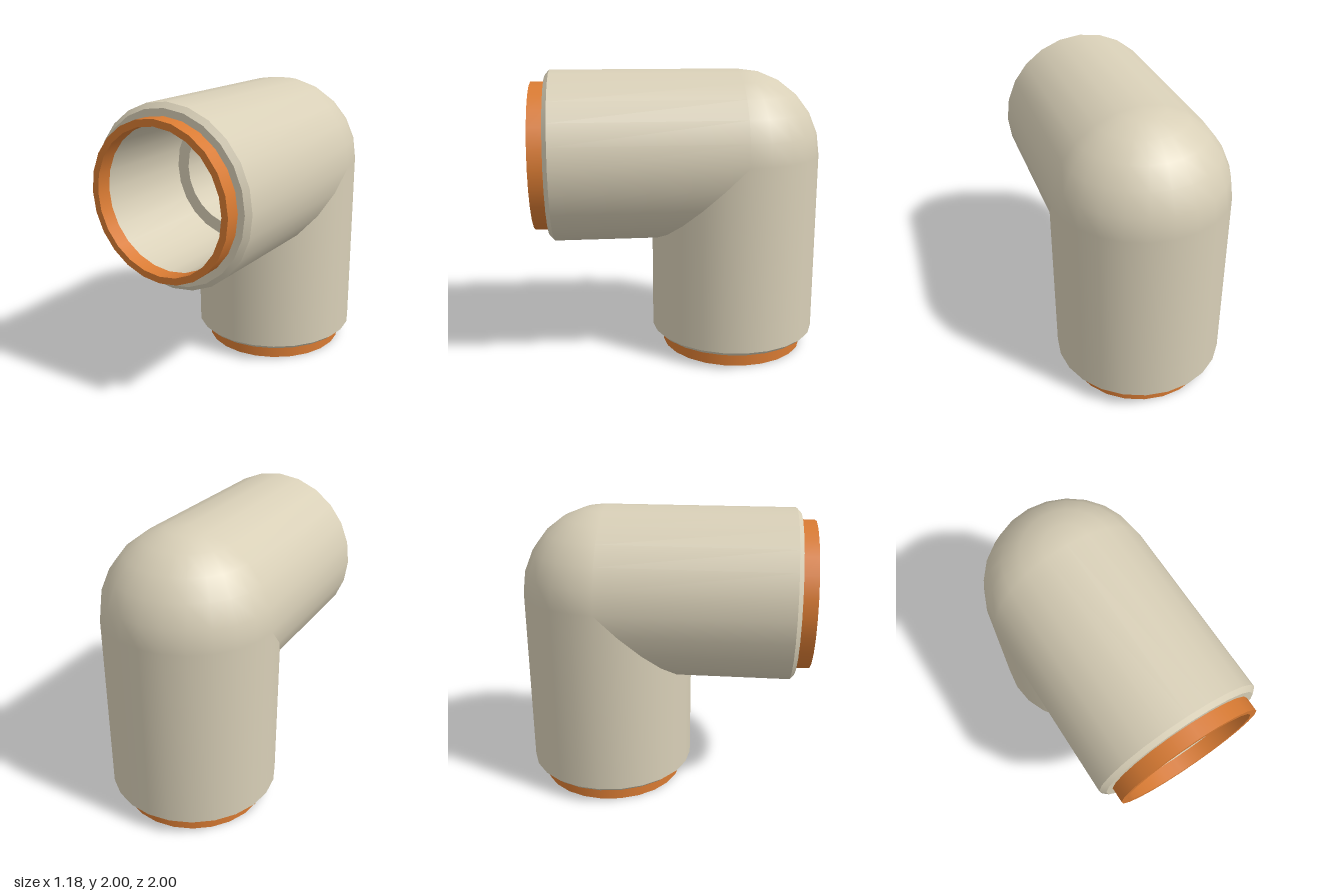
import * as THREE from 'three';

const SIDES = 24;
const OUTER = 0.59, BORE = 0.375, SOCKET = 0.465, RING = 0.51;
const REACH = 1.41;            // joint centre to the tip of each leg
const LIP = REACH - 0.1;       // joint centre to the end of the pale body

const body = new THREE.MeshStandardMaterial({ color: 0xd8cfb7, side: THREE.DoubleSide });
body.name = 'warm grey';
const accent = new THREE.MeshStandardMaterial({ color: 0xd97b33, side: THREE.DoubleSide });
accent.name = 'orange';

// One turned band between two profile points; separate bands keep edges sharp
function band(name, material, r0, y0, r1, y1) {
  const points = [new THREE.Vector2(r0, y0), new THREE.Vector2(r1, y1)];
  const mesh = new THREE.Mesh(new THREE.LatheGeometry(points, SIDES), material);
  mesh.name = name;
  return mesh;
}

// Cut the joint end (y = 0) of a tube along the mitre on its inner side
function mitre(mesh) {
  const p = mesh.geometry.attributes.position;
  for (let i = 0; i < p.count; i++) {
    if (Math.abs(p.getY(i)) < 1e-6) p.setY(i, Math.min(0, -p.getZ(i)));
  }
  return mesh;
}

// A hollow leg running down from the joint centre, inner corner toward +z
function makeLeg(name) {
  const leg = new THREE.Group();
  leg.name = name;
  leg.add(
    mitre(band('outerWall', body, OUTER, -LIP + 0.03, OUTER, 0)),
    band('chamfer', body, 0.557, -LIP, OUTER, -LIP + 0.03),
    band('endFace', body, SOCKET, -LIP, 0.557, -LIP),
    band('socketWall', body, SOCKET, -OUTER, SOCKET, -LIP),
    band('socketShoulder', body, BORE, -OUTER, SOCKET, -OUTER),
    mitre(band('boreWall', body, BORE, 0, BORE, -OUTER)),
    band('ringInside', accent, SOCKET, -LIP, SOCKET, -REACH),
    band('ringFace', accent, SOCKET, -REACH, RING, -REACH),
    band('ringOutside', accent, RING, -REACH, RING, -LIP)
  );
  return leg;
}

// Quarter sphere closing the outside of the bend
function makeDome(name, radius) {
  const geometry = new THREE.SphereGeometry(radius, SIDES / 2, SIDES / 4, Math.PI, Math.PI, 0, Math.PI / 2);
  const mesh = new THREE.Mesh(geometry, body);
  mesh.name = name;
  return mesh;
}

export function createModel() {
  const model = new THREE.Group();
  model.name = 'pipeElbow';

  const elbow = new THREE.Group();
  elbow.name = 'elbow';
  elbow.position.set(0, REACH, REACH - 1 - 0.82);
  const verticalLeg = makeLeg('verticalLeg');
  const frontLeg = makeLeg('frontLeg');
  frontLeg.rotation.set(-Math.PI / 2, Math.PI, 0);

  elbow.add(verticalLeg, frontLeg, makeDome('outerDome', OUTER), makeDome('innerDome', BORE));
  model.add(elbow);
  return model;
}
